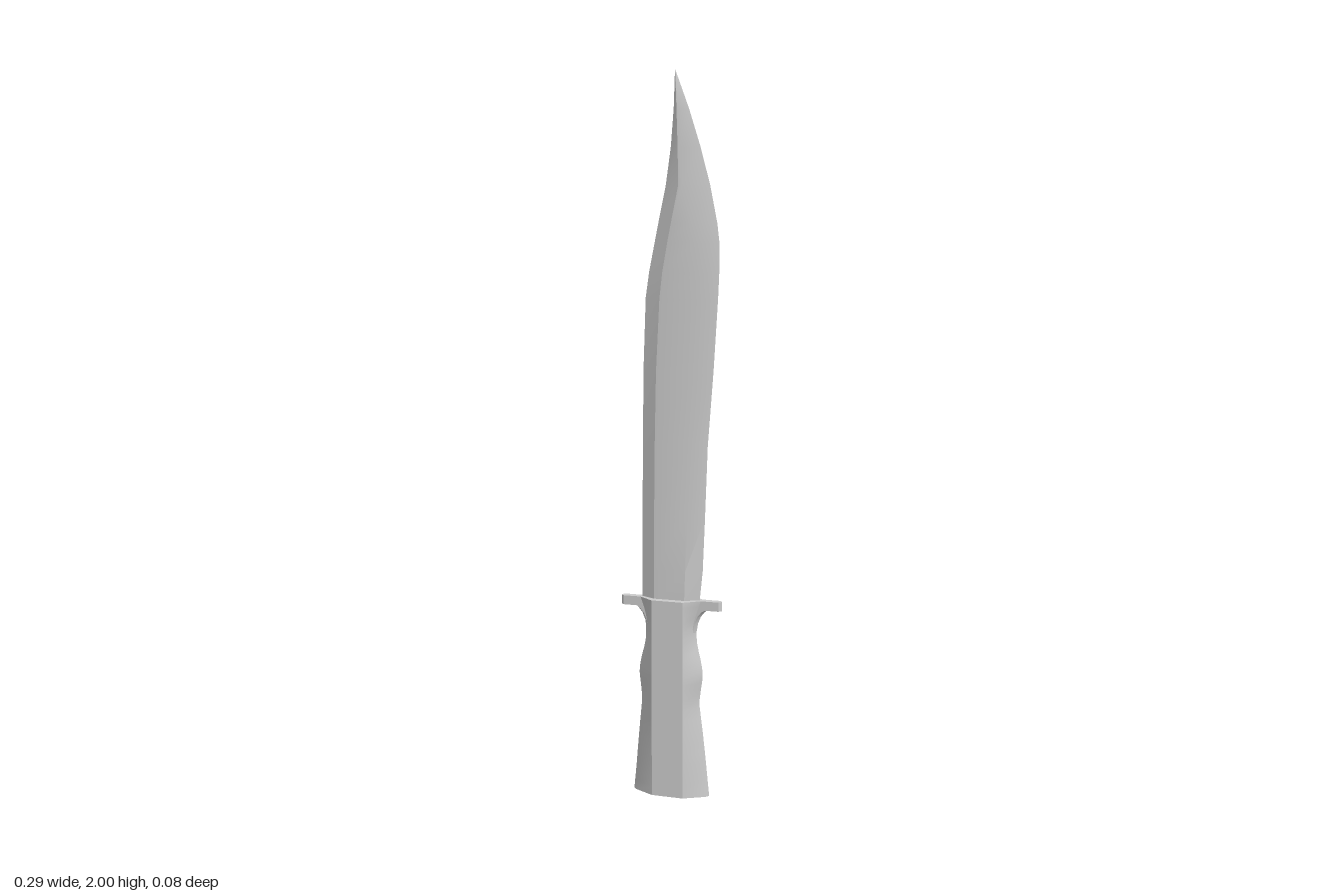
import * as THREE from 'three';
import { toCreasedNormals } from 'three/addons/utils/BufferGeometryUtils.js';

// Skin horizontal rings ({ y, pts: [[x, z], ...] }, counterclockwise from above) and cap both ends
function loft(name, rings, crease) {
  const n = rings[0].pts.length, pos = [], idx = [];
  for (const { y, pts } of rings) for (const [x, z] of pts) pos.push(x, y, z);
  for (let i = 0; i < rings.length - 1; i++) {
    for (let j = 0; j < n; j++) {
      const a = i * n + j, b = i * n + (j + 1) % n;
      idx.push(a, b, b + n, a, b + n, a + n);
    }
  }
  const top = (rings.length - 1) * n;
  for (let j = 1; j < n - 1; j++) idx.push(0, j + 1, j, top, top + j, top + j + 1);
  const geo = new THREE.BufferGeometry();
  geo.setAttribute('position', new THREE.Float32BufferAttribute(pos, 3));
  geo.setIndex(idx);
  const mesh = new THREE.Mesh(toCreasedNormals(geo, crease), new THREE.MeshStandardMaterial({ color: 0xcccccc }));
  mesh.name = name;
  return mesh;
}

// Smooth a list of stations with a spline through them
function smooth(stations, count) {
  const curves = stations[0].slice(1).map((_, k) =>
    new THREE.CatmullRomCurve3(stations.map(s => new THREE.Vector3(s[k + 1], s[0], 0)), false, 'centripetal'));
  return Array.from({ length: count + 1 }, (_, i) => {
    const ps = curves.map(c => c.getPoint(i / count));
    return [ps[0].y, ...ps.map(p => p.x)];
  });
}

// Blade: flat hexagonal section between two ridges, tapering to a point
function blade() {
  // y, back edge, back ridge, front ridge, cutting edge, half thickness
  const stations = [
    [0.55, -0.085, -0.045, 0.042, 0.08, 0.02],
    [0.65, -0.085, -0.045, 0.045, 0.09, 0.02],
    [0.80, -0.084, -0.044, 0.047, 0.096, 0.02],
    [1.00, -0.082, -0.042, 0.05, 0.103, 0.02],
    [1.20, -0.08, -0.038, 0.06, 0.118, 0.02],
    [1.40, -0.073, -0.028, 0.073, 0.13, 0.02],
    [1.47, -0.063, -0.02, 0.075, 0.133, 0.02],
    [1.55, -0.047, -0.006, 0.069, 0.133, 0.02],
    [1.60, -0.037, 0.004, 0.06, 0.127, 0.02],
    [1.70, -0.016, 0.024, 0.032, 0.107, 0.019],
    [1.80, -0.002, 0.021, 0.025, 0.08, 0.014],
    [1.90, 0.006, 0.016, 0.018, 0.048, 0.008],
    [2.00, 0.0095, 0.01, 0.01, 0.0105, 0.0003],
  ];
  return loft('blade', stations.map(([y, l, a, b, r, t]) => ({
    y, pts: [[r, 0], [b, -t], [a, -t], [l, 0], [a, t], [b, t]],
  })), 0.4);
}

// Section edge: a narrow band with a shallow point at x = l and x = r
const bevel = 0.008, band = 0.01;

// Handle: faceted grip with a finger swell and a flared base
function handle() {
  const stations = [
    [0, -0.111, 0.111], [0.06, -0.105, 0.105], [0.12, -0.1, 0.099], [0.2, -0.093, 0.09],
    [0.27, -0.087, 0.082], [0.31, -0.09, 0.086], [0.35, -0.094, 0.091], [0.39, -0.088, 0.086],
    [0.44, -0.076, 0.075], [0.49, -0.075, 0.073], [0.53, -0.083, 0.083], [0.567, -0.095, 0.095],
  ];
  const h = 0.04, a = -0.046, b = 0.044;
  return loft('handle', smooth(stations, 26).map(([y, l, r]) => ({
    y, pts: [[r, 0], [r - bevel, -band], [b, -h], [a, -h], [l + bevel, -band],
      [l, 0], [l + bevel, band], [a, h], [b, h], [r - bevel, band]],
  })), 0.45);
}

// Guard: thin crossbar with curved undersides and slightly lipped tips
function guard() {
  const profile = [[0.47, 0.072], [0.5, 0.077], [0.52, 0.085], [0.535, 0.097], [0.545, 0.113],
    [0.548, 0.128], [0.541, 0.146], [0.567, 0.146]];
  return loft('guard', profile.map(([y, w]) => ({
    y, pts: [[w, 0], [w - bevel, -band], [-w + bevel, -band], [-w, 0], [-w + bevel, band], [w - bevel, band]],
  })), 0.5);
}

export function createModel() {
  const knife = new THREE.Group();
  knife.name = 'knife';
  knife.add(blade(), handle(), guard());
  return knife;
}
